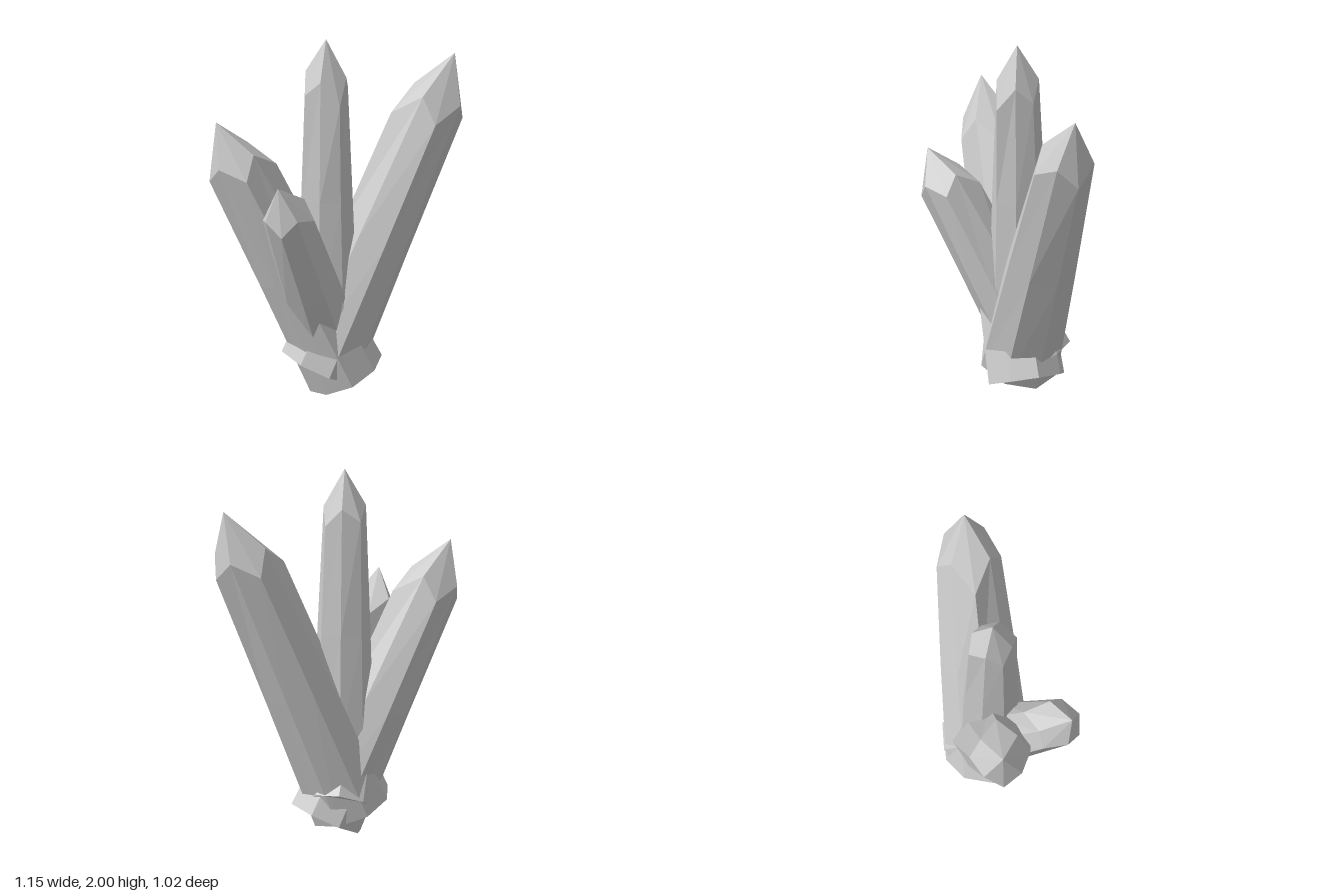
import * as THREE from 'three';

const SIDES = 8;
const UNIT_LENGTH = 1.85;

// Shaft rings: height as a share of the length, radius of the even and odd corners.
const SHAFT = [
  { t: 0, radii: [0.225, 0.215] },
  { t: 0.41, radii: [0.202, 0.188] },
];
// Shoulder corners, from the outer side round: radius and distance below the tip.
const SHOULDER = [
  [0.185, 0.325], [0.152, 0.238], [0.173, 0.365], [0.148, 0.256],
  [0.195, 0.42], [0.148, 0.256], [0.173, 0.365], [0.152, 0.238],
];

// Eight-sided shaft ending in four kite faces that meet at the tip; the foot is at the origin.
function crystalGeometry(length, width, twist) {
  const corner = (i, radius, y) => {
    const a = (i / SIDES) * Math.PI * 2 + twist;
    return new THREE.Vector3(radius * width * Math.cos(a), y, radius * width * Math.sin(a));
  };
  const rings = SHAFT.map(({ t, radii }) =>
    SHOULDER.map((_, i) => corner(i, radii[i % 2], t * length)));
  rings.push(SHOULDER.map(([radius, drop], i) =>
    corner(i, radius, length * (1 - drop / UNIT_LENGTH))));

  const tip = new THREE.Vector3(0, length, 0);
  const foot = new THREE.Vector3(0, 0, 0);
  const points = [];
  const tri = (...corners) => points.push(...corners);
  for (let i = 0; i < SIDES; i++) {
    const j = (i + 1) % SIDES;
    tri(foot, rings[0][i], rings[0][j]);
    for (let k = 0; k < rings.length - 1; k++) {
      const low = rings[k], high = rings[k + 1];
      tri(low[i], high[i], low[j]);
      tri(low[j], high[i], high[j]);
    }
    tri(rings[2][i], tip, rings[2][j]);
  }
  const geometry = new THREE.BufferGeometry().setFromPoints(points);
  geometry.computeVertexNormals();
  return geometry;
}

// Stands a crystal on its foot and leans it towards its tip.
function addCrystal(group, material, { name, foot, tip, width, twist }) {
  const start = new THREE.Vector3(...foot);
  const axis = new THREE.Vector3(...tip).sub(start);
  const length = axis.length();
  axis.normalize();
  const side = new THREE.Vector3(-axis.z, 0, axis.x).normalize();
  const out = new THREE.Vector3().crossVectors(axis, side);
  const mesh = new THREE.Mesh(
    crystalGeometry(length, width, THREE.MathUtils.degToRad(twist)), material);
  mesh.name = name;
  mesh.quaternion.setFromRotationMatrix(new THREE.Matrix4().makeBasis(out, axis, side));
  mesh.position.copy(start);
  group.add(mesh);
}

export function createModel() {
  const group = new THREE.Group();
  group.name = 'crystalCluster';
  const material = new THREE.MeshStandardMaterial({ color: 0xcccccc, flatShading: true });
  const crystals = [
    { name: 'centreCrystal', foot: [-0.035, 0.5, -0.02], tip: [-0.05, 2, -0.02], width: 0.75, twist: 115 },
    { name: 'frontLeftCrystal', foot: [-0.05, 0.15, -0.06], tip: [0.5, 1.85, 0.42], width: 1, twist: 0 },
    { name: 'backRightCrystal', foot: [0.037, 0.095, 0.047], tip: [-0.46, 1.56, -0.44], width: 0.94, twist: 0 },
    { name: 'rightCrystal', foot: [0.06, 0.19, -0.055], tip: [-0.55, 1.32, 0.03], width: 0.83, twist: -13 },
  ];
  crystals.forEach((crystal) => addCrystal(group, material, crystal));
  return group;
}
